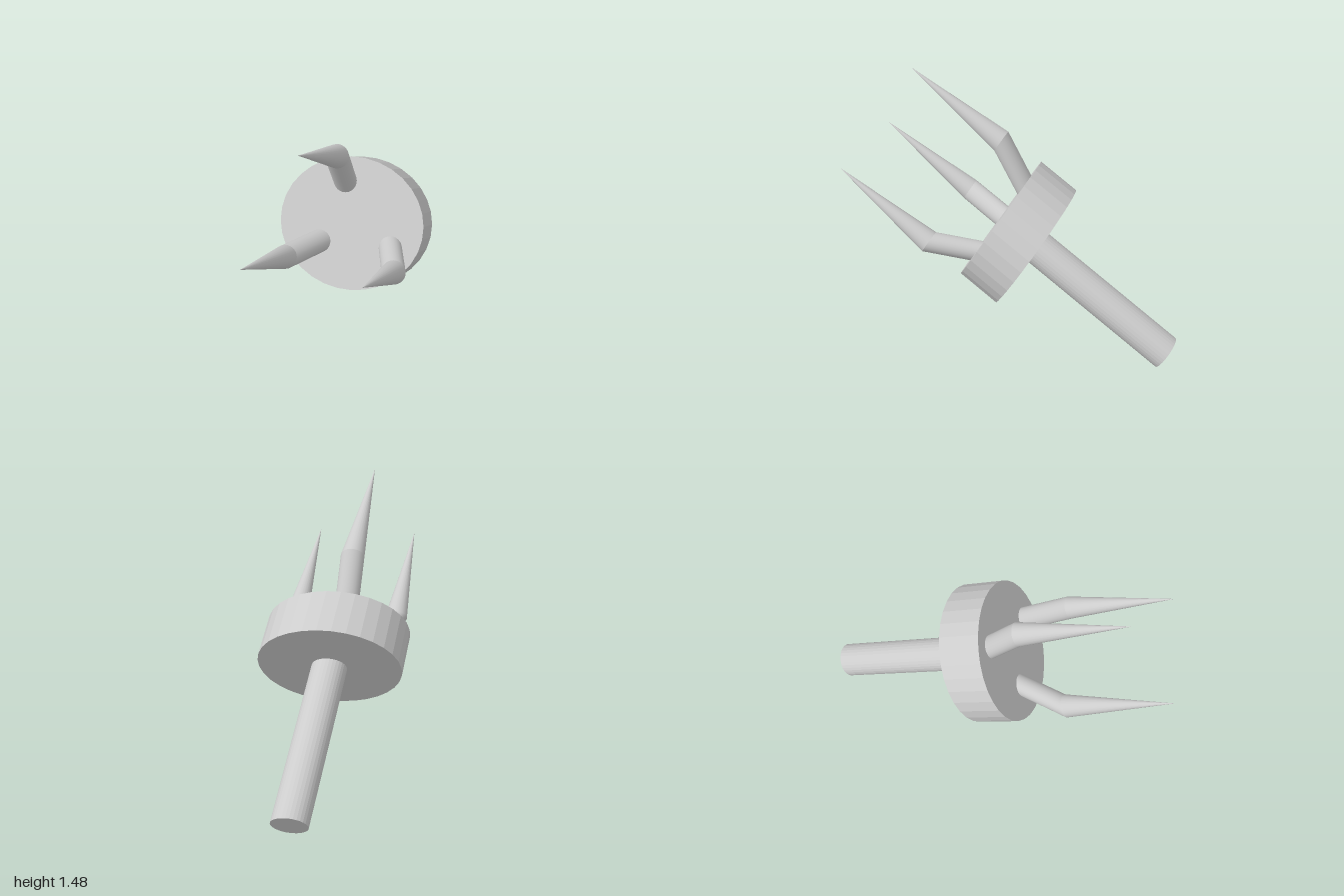
import * as THREE from 'three';

const mat = new THREE.MeshStandardMaterial({ color: 0xcccccc });
const flat = new THREE.MeshStandardMaterial({ color: 0xcccccc, flatShading: true });

// Slanted frame: y runs along the shaft, x and z lie in the disc face,
// with the origin at the centre of the front face.
const frame = new THREE.Matrix4()
  .makeBasis(
    new THREE.Vector3(0.986, -0.096, -0.16),
    new THREE.Vector3(0.1, 0.514, 0.852),
    new THREE.Vector3(0, -0.857, 0.515)
  )
  .setPosition(0, 0.705, 0.065);

function part(name, geometry, material) {
  const mesh = new THREE.Mesh(geometry.applyMatrix4(frame), material);
  mesh.name = name;
  return mesh;
}

// Cylinder between two heights, its end rings staying parallel to the disc
function skewed(rBottom, rTop, from, to, y0, y1) {
  const h = y1 - y0;
  const shear = new THREE.Matrix4().set(
    1, (to[0] - from[0]) / h, 0, from[0],
    0, 1, 0, y0,
    0, (to[1] - from[1]) / h, 1, from[1],
    0, 0, 0, 1
  );
  return new THREE.CylinderGeometry(rTop, rBottom, h, 24).translate(0, h / 2, 0).applyMatrix4(shear);
}

export function createModel() {
  const model = new THREE.Group();
  model.name = 'threeProngedRod';

  // Slightly oval disc
  const disc = new THREE.CylinderGeometry(0.373, 0.373, 0.255, 32).scale(1.085, 1, 1).translate(0, -0.1275, 0);
  model.add(part('disc', disc, flat));

  // Rod behind the disc
  const rod = new THREE.CylinderGeometry(0.096, 0.096, 0.98, 32).scale(1.04, 1, 1).translate(0, -0.707, 0);
  model.add(part('rod', rod, flat));

  // Prongs: a stem leaning outwards, then a straight spike
  const prongs = [
    { name: 'topProng', base: [-0.084, -0.226], elbow: [-0.091, -0.362] },
    { name: 'rightProng', base: [-0.157, 0.138], elbow: [-0.252, 0.23] },
    { name: 'leftProng', base: [0.243, 0.082], elbow: [0.338, 0.171] },
  ];
  const r = 0.065, elbowHeight = 0.245, tipHeight = 0.893;
  for (const { name, base, elbow } of prongs) {
    const prong = new THREE.Group();
    prong.name = name;
    prong.add(part('stem', skewed(r, r, base, elbow, 0, elbowHeight), mat));
    prong.add(part('spike', skewed(r, 0, elbow, elbow, elbowHeight, tipHeight), mat));
    model.add(prong);
  }
  return model;
}
